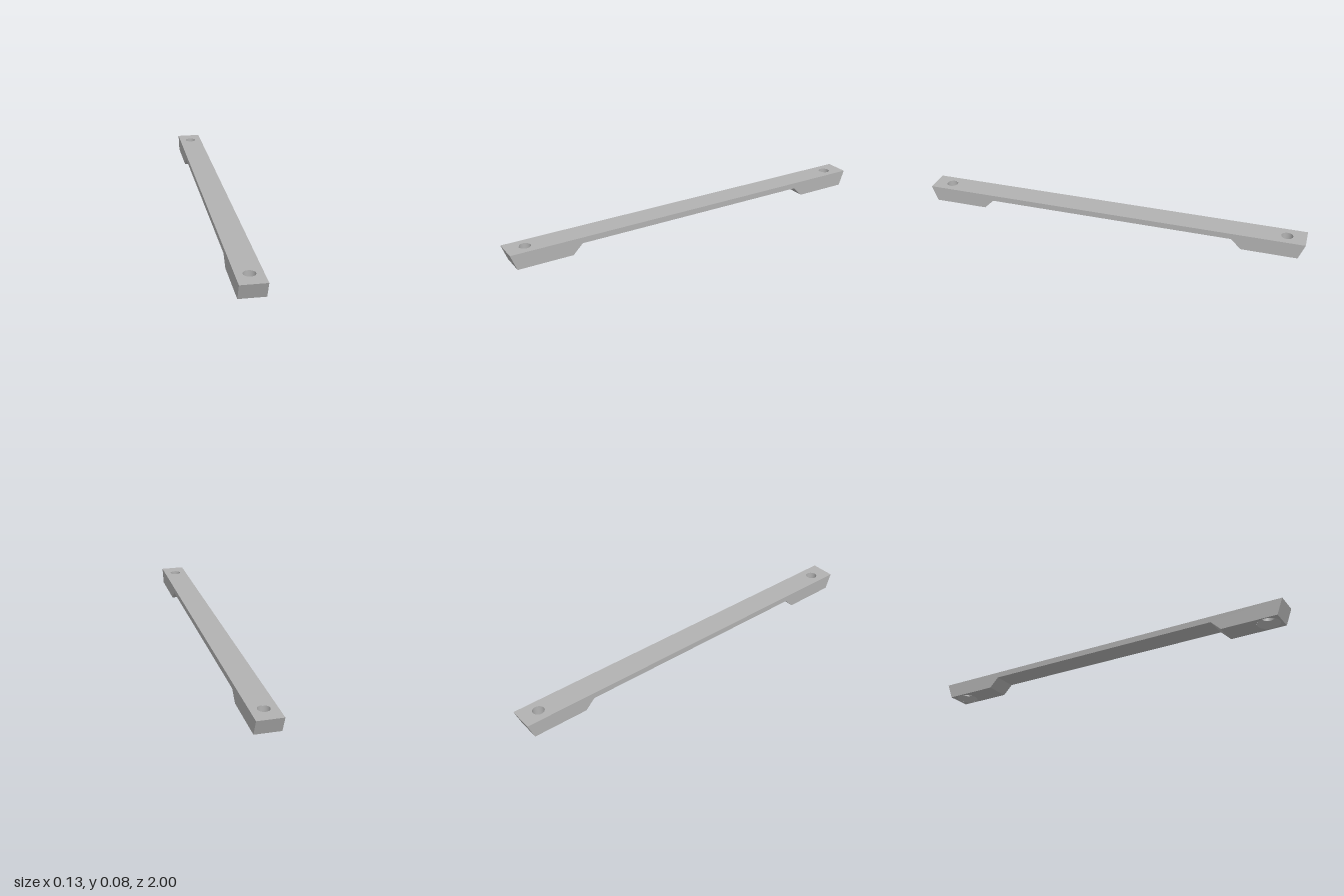
import * as THREE from 'three';

const HALF_W = 0.063, HEIGHT = 0.08;
const HOLE_Z = 0.905, BORE_R = 0.029, SINK_R = 0.056, SINK_H = 0.027;
const SEGMENTS = 32;

// Side outline as [z, y], running counterclockwise
const PROFILE = [
  [-0.97, 0], [-0.69, 0], [-0.64, 0.05], [0.64, 0.05],
  [0.69, 0], [0.97, 0], [1, HEIGHT], [-1, HEIGHT],
];

// Flat rectangle spanning the width from outline point a to b, with round holes at the given z
function edgeFace(a, b, holeZs, radius) {
  const length = Math.hypot(b[0] - a[0], b[1] - a[1]);
  const dir = new THREE.Vector3(0, (b[1] - a[1]) / length, (b[0] - a[0]) / length);
  const shape = new THREE.Shape([
    new THREE.Vector2(-HALF_W, 0), new THREE.Vector2(HALF_W, 0),
    new THREE.Vector2(HALF_W, length), new THREE.Vector2(-HALF_W, length),
  ]);
  for (const z of holeZs) {
    const hole = new THREE.Path();
    hole.absarc(0, Math.abs(z - a[0]), radius, 0, Math.PI * 2, true);
    shape.holes.push(hole);
  }
  const xAxis = new THREE.Vector3(1, 0, 0);
  const normal = xAxis.clone().cross(dir);
  const matrix = new THREE.Matrix4().makeBasis(xAxis, dir, normal).setPosition(0, a[1], a[0]);
  return new THREE.ShapeGeometry(shape, SEGMENTS).applyMatrix4(matrix);
}

export function createModel() {
  const model = new THREE.Group();
  model.name = 'handleBar';
  const metal = new THREE.MeshStandardMaterial({ color: 0xb2b2b2 });
  metal.name = 'grey metal';

  const add = (name, geometry, z = 0) => {
    const mesh = new THREE.Mesh(geometry, metal);
    mesh.name = name;
    mesh.position.z = z;
    model.add(mesh);
  };

  // Faces around the outline; the top and both feet are pierced
  const names = ['backFoot', 'backFootSlope', 'underside', 'frontFootSlope',
    'frontFoot', 'frontEnd', 'top', 'backEnd'];
  const holes = { backFoot: [-HOLE_Z], frontFoot: [HOLE_Z], top: [-HOLE_Z, HOLE_Z] };
  names.forEach((name, i) => {
    const next = PROFILE[(i + 1) % PROFILE.length];
    const radius = name === 'top' ? BORE_R : SINK_R;
    add(name, edgeFace(PROFILE[i], next, holes[name] || [], radius));
  });

  // Long side walls
  const outline = new THREE.Shape(PROFILE.map(([z, y]) => new THREE.Vector2(z, y)));
  for (const side of [-1, 1]) {
    const wall = new THREE.ShapeGeometry(outline);
    wall.rotateY(side * Math.PI / 2).translate(side * HALF_W, 0, 0);
    add(side > 0 ? 'leftWall' : 'rightWall', wall);
  }

  // Screw holes: straight bore above a countersink, walls facing inward
  const lathe = (...points) =>
    new THREE.LatheGeometry(points.map(([r, y]) => new THREE.Vector2(r, y)), SEGMENTS);
  for (const z of [-HOLE_Z, HOLE_Z]) {
    const end = z > 0 ? 'front' : 'back';
    add(end + 'Bore', lathe([BORE_R, HEIGHT], [BORE_R, SINK_H]), z);
    add(end + 'Countersink', lathe([BORE_R, SINK_H], [SINK_R, 0]), z);
  }
  return model;
}
